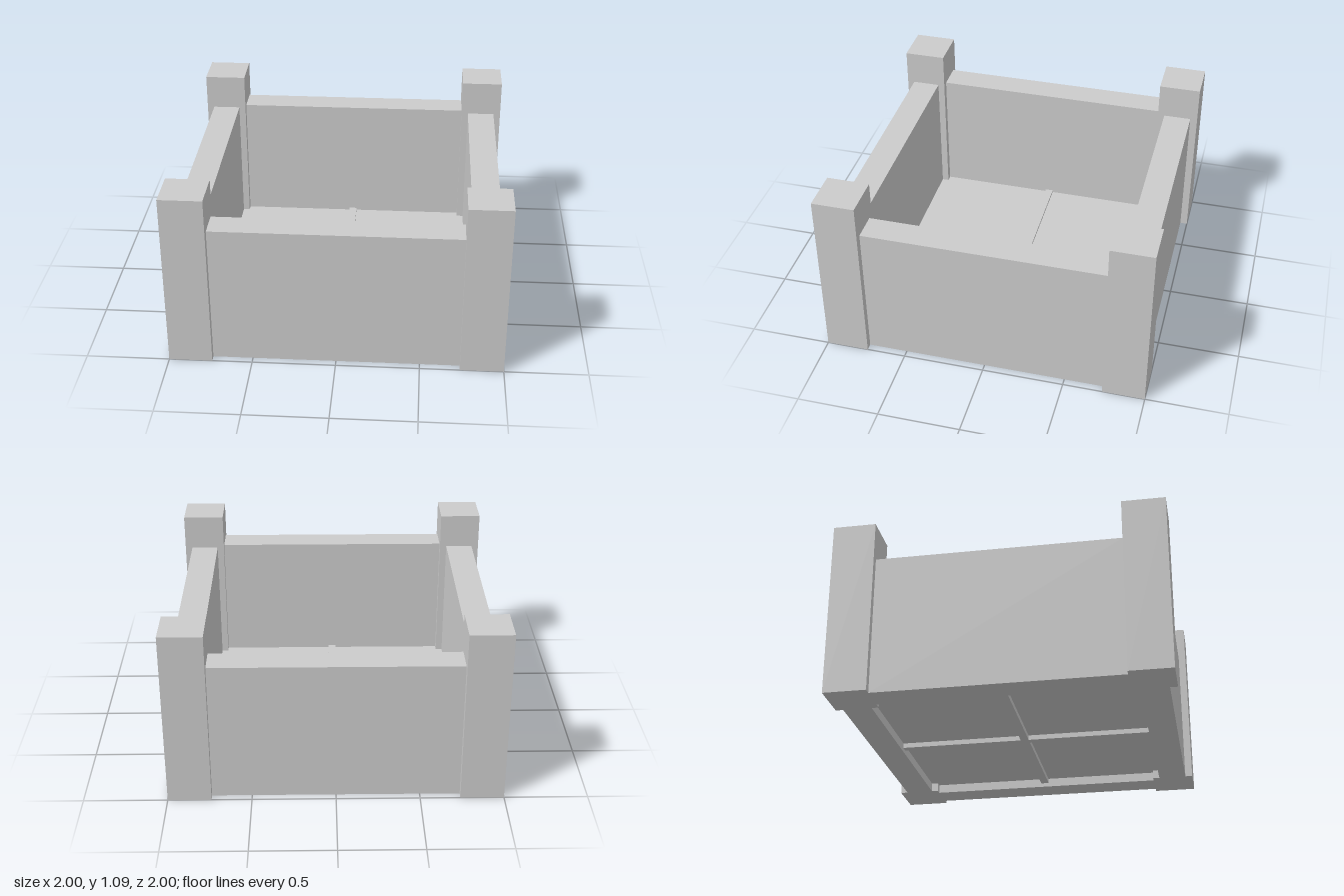
import * as THREE from 'three';

export function createModel() {
  const group = new THREE.Group();
  group.name = 'planterBox';
  const material = new THREE.MeshStandardMaterial({ color: 0xcccccc, flatShading: true });

  // Box placed by its centre in plan and its bottom and top heights
  function addBox(name, width, depth, bottom, top, x = 0, z = 0) {
    const mesh = new THREE.Mesh(new THREE.BoxGeometry(width, top - bottom, depth), material);
    mesh.name = name;
    mesh.position.set(x, (bottom + top) / 2, z);
    group.add(mesh);
  }

  const post = 0.26, postHeight = 1.09;
  const wallHeight = 0.87, wallInner = 0.782, wallOuter = 0.955;
  const wallThickness = wallOuter - wallInner;
  const wallCentre = (wallOuter + wallInner) / 2;
  const span = 2 * (1 - post);

  // Corner posts
  for (const x of [-1, 1]) {
    for (const z of [-1, 1]) {
      addBox('cornerPost', post, post, 0, postHeight, x * (1 - post / 2), z * (1 - post / 2));
    }
  }

  // Walls between the posts
  for (const side of [-1, 1]) {
    addBox(side > 0 ? 'frontWall' : 'backWall', span, wallThickness, 0, wallHeight, 0, side * wallCentre);
    addBox(side > 0 ? 'leftWall' : 'rightWall', wallThickness, span, 0, wallHeight, side * wallCentre, 0);
  }

  // Raised floor panels, one in each quarter
  const gap = 0.025, panel = wallInner - gap;
  for (const x of [-1, 1]) {
    for (const z of [-1, 1]) {
      addBox('floorPanel', panel, panel, 0.055, 0.07, x * (gap + panel / 2), z * (gap + panel / 2));
    }
  }

  // Crossed floor beams
  addBox('crossBeam', 2 * wallInner, 2 * gap, 0.025, 0.085);
  for (const z of [-1, 1]) {
    addBox('crossBeamArm', 2 * gap, panel, 0.025, 0.085, 0, z * (gap + panel / 2));
  }

  return group;
}
